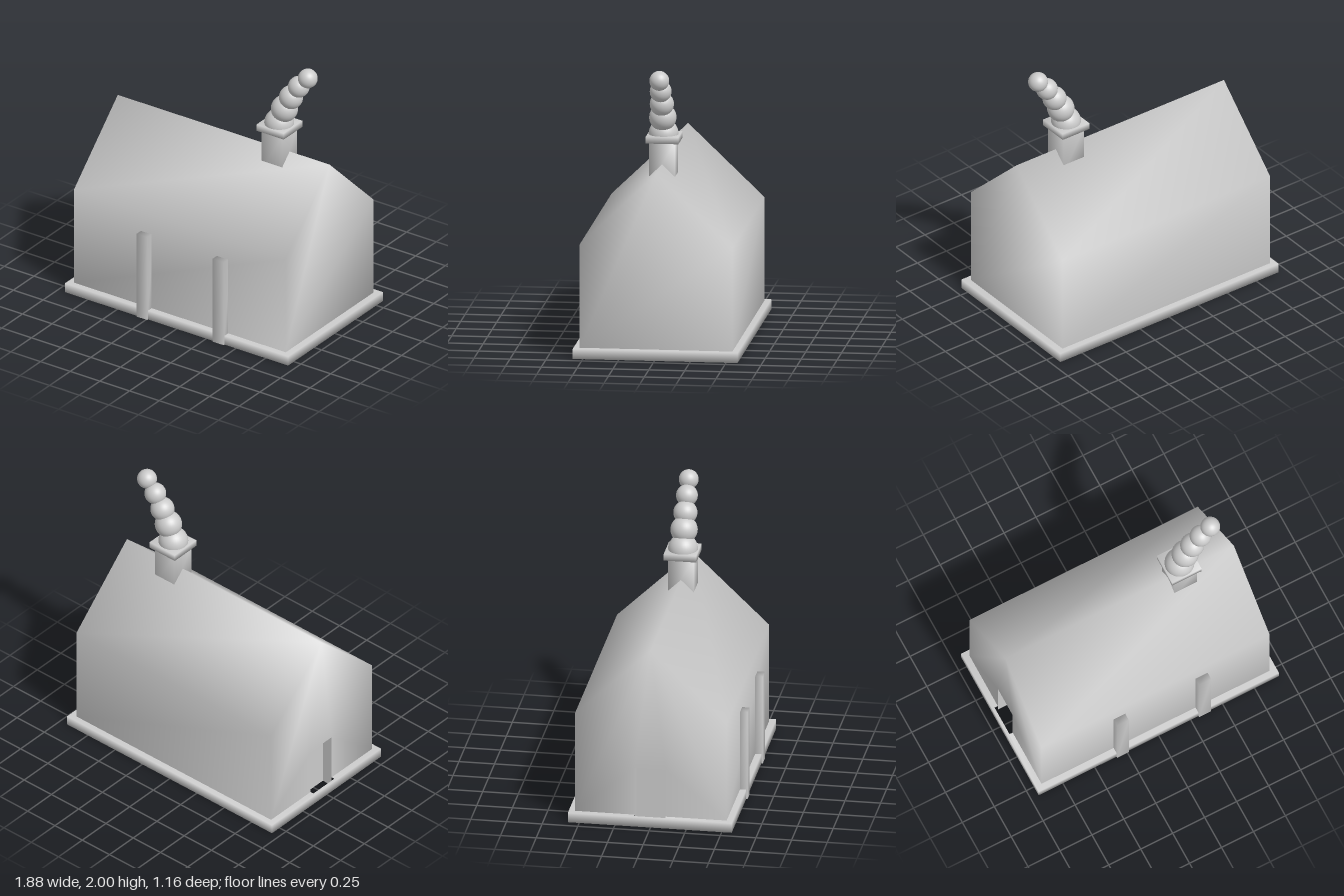
import * as THREE from 'three';
import { mergeVertices } from 'three/addons/utils/BufferGeometryUtils.js';

const material = new THREE.MeshStandardMaterial({ color: 0xcccccc });
const insideMaterial = new THREE.MeshStandardMaterial({ color: 0xcccccc, side: THREE.BackSide });

// Doorway in the right (-x) gable
const DOOR = { front: 0.1, back: -0.12, top: 0.42, depth: 0.08 };
const RIGHT = -0.895, LEFT = 0.89, FLOOR = 0.07;

// Shares the corners so that normals blend across the edges
function smooth(geometry) {
  geometry.deleteAttribute('normal');
  geometry.deleteAttribute('uv');
  const merged = mergeVertices(geometry, 1e-4);
  merged.computeVertexNormals();
  return merged;
}

function add(group, name, geometry, mat = material) {
  const mesh = new THREE.Mesh(geometry, mat);
  mesh.name = name;
  group.add(mesh);
  return mesh;
}

// Box given by its lower and upper corners
function boxBetween(x0, y0, z0, x1, y1, z1) {
  return new THREE.BoxGeometry(x1 - x0, y1 - y0, z1 - z0)
    .translate((x0 + x1) / 2, (y0 + y1) / 2, (z0 + z1) / 2);
}

// Walls and roof: a gabled section stretched along x, with a doorway in one end
function houseGeometry() {
  const section = [[0.527, FLOOR], [-0.538, FLOOR], [-0.538, 0.8], [-0.005, 1.31], [0.527, 0.8]];
  const doorway = [[DOOR.front, FLOOR], [DOOR.front, DOOR.top], [DOOR.back, DOOR.top], [DOOR.back, FLOOR]];
  const positions = [];
  const put = (x, points) => points.forEach(([z, y]) => positions.push(x, y, z));
  put(LEFT, section);
  put(RIGHT, section);
  put(RIGHT, doorway);

  const index = [];
  // Long sides (the first edge is the floor, left open)
  for (let i = 1; i < 5; i++) {
    const j = (i + 1) % 5;
    index.push(i, i + 5, j + 5, i, j + 5, j);
  }
  // Gable ends
  const fill = (points, ids, flip) => {
    const contour = points.map(([z, y]) => new THREE.Vector2(-z, y));
    for (const [a, b, c] of THREE.ShapeUtils.triangulateShape(contour, [])) {
      index.push(ids[a], ids[flip ? c : b], ids[flip ? b : c]);
    }
  };
  fill(section, [0, 1, 2, 3, 4], false);
  fill([section[0], ...doorway, ...section.slice(1)], [5, 10, 11, 12, 13, 6, 7, 8, 9], true);

  const geometry = new THREE.BufferGeometry();
  geometry.setAttribute('position', new THREE.Float32BufferAttribute(positions, 3));
  geometry.setIndex(index);
  geometry.computeVertexNormals();
  return geometry;
}

// Plinth with a slot under the doorway
function baseGeometry() {
  const rectangle = (path, x0, z0, x1, z1) =>
    path.setFromPoints([[x0, z0], [x1, z0], [x1, z1], [x0, z1]].map(([x, z]) => new THREE.Vector2(x, -z)));
  const shape = rectangle(new THREE.Shape(), -0.94, -0.58, 0.94, 0.57);
  shape.holes.push(rectangle(new THREE.Path(), -0.92, DOOR.back, RIGHT + DOOR.depth, DOOR.front));
  return smooth(new THREE.ExtrudeGeometry(shape, { depth: FLOOR, bevelEnabled: false }).rotateX(-Math.PI / 2));
}

// Inner faces of the doorway: back, ceiling and two jambs
function recessGeometry() {
  const geometry = boxBetween(RIGHT, 0, DOOR.back, RIGHT + DOOR.depth, DOOR.top, DOOR.front);
  const all = Array.from(geometry.index.array);
  geometry.setIndex([0, 2, 4, 5].flatMap((side) => all.slice(side * 6, side * 6 + 6)));
  geometry.clearGroups();
  return geometry;
}

export function createModel() {
  const model = new THREE.Group();
  model.name = 'house';

  add(model, 'base', baseGeometry());
  add(model, 'wallsAndRoof', houseGeometry());
  add(model, 'doorRecess', recessGeometry(), insideMaterial);

  // Posts on the front wall
  for (const [name, x0, x1] of [['rightPost', -0.33, -0.24], ['leftPost', 0.31, 0.405]]) {
    add(model, name, smooth(boxBetween(x0, 0, 0.5, x1, 0.65, 0.58)));
  }

  // Chimney
  const chimney = new THREE.Group();
  chimney.name = 'chimney';
  model.add(chimney);
  add(chimney, 'chimneyShaft', smooth(boxBetween(0.378, 1.15, -0.095, 0.553, 1.47, 0.085)));
  add(chimney, 'chimneyCap', smooth(boxBetween(0.35, 1.46, -0.122, 0.58, 1.508, 0.106)));

  // Drifting smoke, as [x, y, radius]
  const puffs = [[0.465, 1.51, 0.104], [0.51, 1.635, 0.095], [0.565, 1.74, 0.084], [0.63, 1.842, 0.076], [0.706, 1.931, 0.069]];
  const smoke = new THREE.Group();
  smoke.name = 'smoke';
  model.add(smoke);
  for (const [x, y, radius] of puffs) {
    add(smoke, 'smokePuff', new THREE.SphereGeometry(radius, 32, 20)).position.set(x, y, -0.005);
  }
  return model;
}
